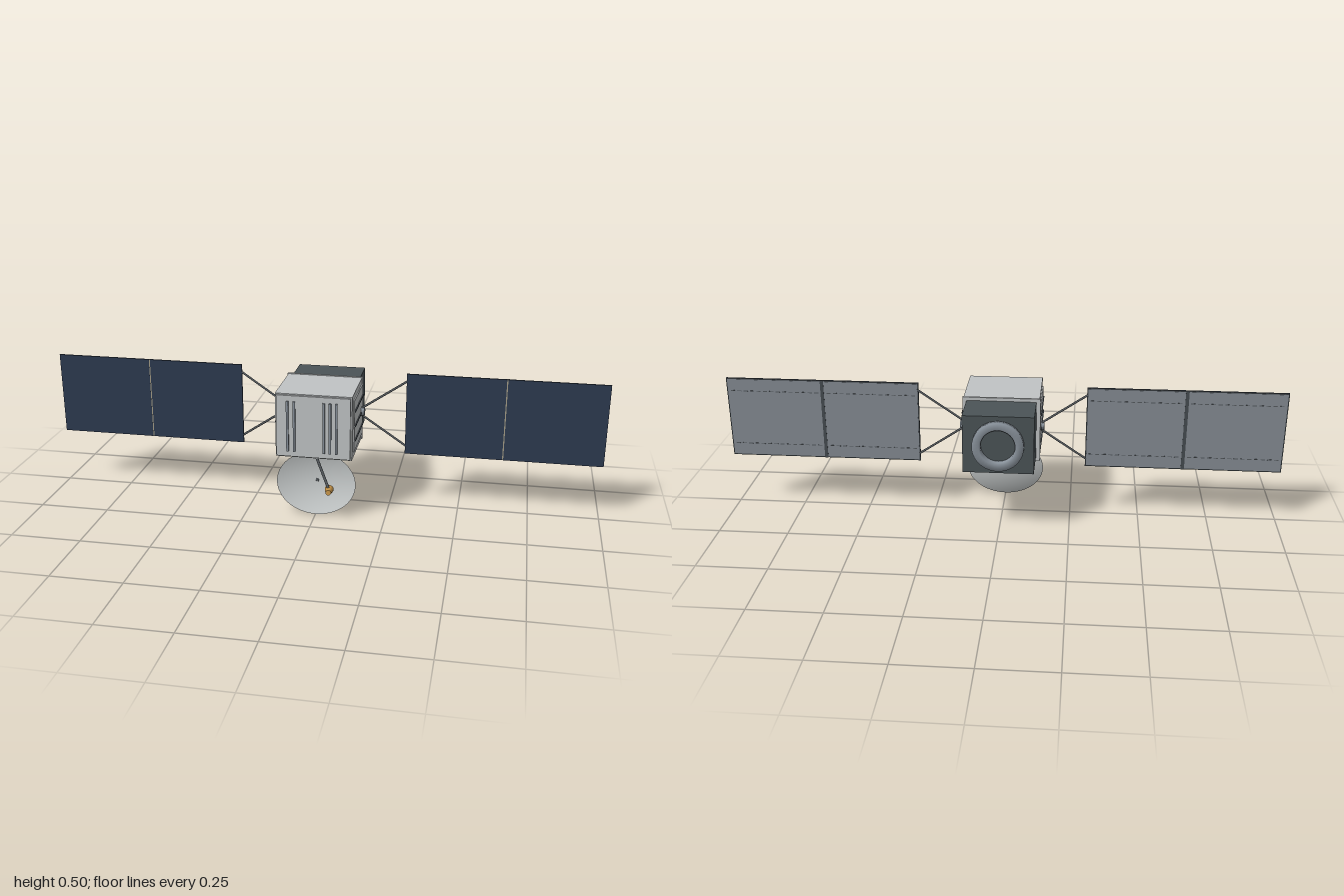
import * as THREE from 'three';

const mat = (name, color, extra = {}) => Object.assign(new THREE.MeshStandardMaterial({ color, ...extra }), { name });

export function createModel() {
  const M = {
    hull: mat('hull light grey', 0xc0c4c5),
    dish: mat('dish light grey', 0xc4c8c8, { side: THREE.DoubleSide }),
    dark: mat('dark slate', 0x4b5457),
    strut: mat('strut grey', 0x555a5e),
    slat: mat('slat charcoal', 0x454b50),
    metal: mat('blue grey metal', 0x88919a),
    cell: mat('solar navy', 0x2c3a50),
    back: mat('panel back grey', 0x848b93),
    gold: mat('feed gold', 0xc8964a),
    seam: mat('seam tan', 0xa39c86),
  };
  const model = new THREE.Group();
  model.name = 'satellite';

  const add = (name, geo, material, parent = model) => {
    const mesh = new THREE.Mesh(geo, material);
    mesh.name = name;
    parent.add(mesh);
    return mesh;
  };
  // box given by its limits on each axis
  const box = (name, [x0, x1], [y0, y1], [z0, z1], material, parent) => {
    const mesh = add(name, new THREE.BoxGeometry(x1 - x0, y1 - y0, z1 - z0), material, parent);
    mesh.position.set((x0 + x1) / 2, (y0 + y1) / 2, (z0 + z1) / 2);
    return mesh;
  };
  // round rod or cone between two points
  const rod = (name, a, b, r0, r1, material, parent, sides = 10) => {
    const p = new THREE.Vector3(...a), q = new THREE.Vector3(...b);
    const mesh = add(name, new THREE.CylinderGeometry(r1, r0, p.distanceTo(q), sides), material, parent);
    mesh.position.copy(p).add(q).multiplyScalar(0.5);
    mesh.quaternion.setFromUnitVectors(new THREE.Vector3(0, 1, 0), q.sub(p).normalize());
    return mesh;
  };

  // main body
  box('body', [-0.135, 0.135], [0.235, 0.468], [-0.047, 0.175], M.hull);
  box('frontPlate', [-0.13, 0.13], [0.24, 0.464], [0.175, 0.183], M.hull);
  box('rearFlange', [-0.138, 0.138], [0.233, 0.47], [-0.053, -0.045], M.hull);
  for (const x of [-0.09, -0.066, 0.038, 0.06, 0.082])
    box('frontRib', [x - 0.004, x + 0.004], [0.26, 0.444], [0.183, 0.19], M.metal);

  // rear module with docking ring
  box('rearModule', [-0.124, 0.124], [0.247, 0.458], [-0.197, -0.053], M.dark);
  const ringProfile = [[0.06, 0], [0.09, 0], [0.09, 0.02], [0.066, 0.02], [0.06, 0.014], [0.06, 0]];
  const ring = add('rearRing', new THREE.LatheGeometry(
    ringProfile.map(([r, y]) => new THREE.Vector2(r, y)), 40), M.metal);
  ring.material.side = THREE.DoubleSide;
  ring.rotation.x = -Math.PI / 2;
  ring.position.set(0, 0.352, -0.197);

  // side panels, hubs and solar wings, mirrored by sign
  for (const s of [1, -1]) {
    const side = new THREE.Group();
    side.name = s > 0 ? 'leftSide' : 'rightSide';
    model.add(side);
    const span = (a, b) => (s > 0 ? [a, b] : [-b, -a]);

    box('sidePanel', span(0.135, 0.139), [0.258, 0.446], [-0.045, 0.148], M.hull, side);
    for (const y of [0.298, 0.352, 0.406])
      box('sideSlat', span(0.139, 0.143), [y - 0.002, y + 0.002], [-0.044, 0.145], M.slat, side);
    rod('wingHub', [s * 0.135, 0.352, -0.013], [s * 0.151, 0.352, -0.013], 0.017, 0.015, M.metal, side, 8);
    for (const d of [1, -1]) {
      rod('wingStrut', [s * 0.142, 0.352 + d * 0.014, -0.013], [s * 0.303, 0.353 + d * 0.123, -0.013],
        0.004, 0.004, M.strut, side, 8);
    }

    const wing = new THREE.Group();
    wing.name = 'solarWing';
    side.add(wing);
    box('wingFrame', span(0.3, 1), [0.202, 0.503], [-0.0155, -0.0105], M.slat, wing);
    box('seamLine', span(0.648, 0.652), [0.202, 0.503], [-0.0105, -0.0096], M.seam, wing);
    box('rearSpar', span(0.644, 0.656), [0.202, 0.503], [-0.0175, -0.0155], M.slat, wing);
    for (const [a, b] of [[0.3, 0.648], [0.652, 1]]) {
      box('solarCells', span(a, b), [0.202, 0.503], [-0.0105, -0.0092], M.cell, wing);
      box('panelBack', span(a + 0.004, b - 0.004), [0.206, 0.499], [-0.0165, -0.0155], M.back, wing);
      // stitched rails on the back
      for (const y of [0.25, 0.455])
        for (let i = 0; i < 14; i++) {
          const x = a + 0.012 + i * 0.0236;
          box('railDash', span(x, x + 0.015), [y - 0.0015, y + 0.0015], [-0.0172, -0.0165], M.strut, wing);
        }
    }
  }

  // shallow oval dish, tilted slightly upward
  const dish = new THREE.Group();
  dish.name = 'dish';
  dish.position.set(0, 0.119, 0.106);
  dish.rotation.x = -0.103;
  model.add(dish);
  const curve = [];
  for (let i = 0; i <= 12; i++) curve.push(new THREE.Vector2(i / 12, 0.025 * (i / 12) ** 2));
  const bowl = add('dishBowl', new THREE.LatheGeometry(curve, 48), M.dish, dish);
  bowl.rotation.x = Math.PI / 2;
  bowl.scale.set(0.143, 1, 0.117);

  // dish bipod, feed arm and horn
  for (const s of [1, -1])
    rod('dishStrut', [s * 0.05, 0.238, 0.034], [0, 0.119, 0.107], 0.004, 0.004, M.strut);
  rod('feedArm', [0.008, 0.24, 0.168], [0.057, 0.13, 0.193], 0.005, 0.005, M.strut);
  rod('feedHorn', [0.056, 0.122, 0.176], [0.06, 0.126, 0.217], 0.0155, 0.0095, M.gold, model, 20);

  return model;
}
